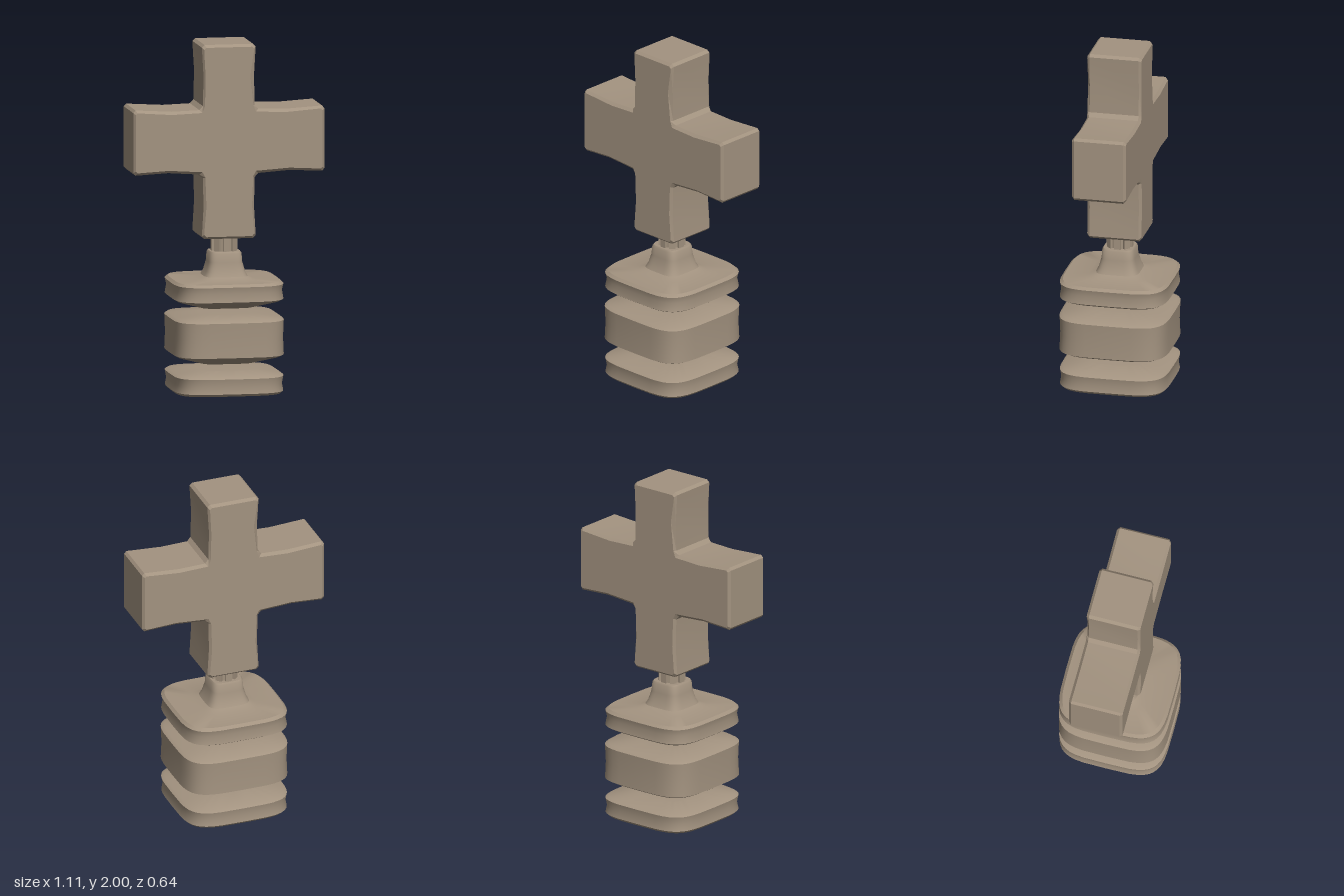
import * as THREE from 'three';
import { toCreasedNormals } from 'three/addons/utils/BufferGeometryUtils.js';

const material = new THREE.MeshStandardMaterial({ color: 0xa39380 });

// Skin a stack of counter-clockwise rings {z, pts: [[x, y], ...]} along z and cap both ends
function loft(rings, crease) {
  const n = rings[0].pts.length, last = (rings.length - 1) * n;
  const positions = rings.flatMap(r => r.pts.flatMap(([x, y]) => [x, y, r.z]));
  const index = [];
  for (let j = 0; j < last; j += n) {
    for (let i = 0; i < n; i++) {
      const k = (i + 1) % n;
      index.push(j + i, j + k, j + n + k, j + i, j + n + k, j + n + i);
    }
  }
  const cap = r => THREE.ShapeUtils.triangulateShape(r.pts.map(p => new THREE.Vector2(...p)), []);
  for (const [a, b, c] of cap(rings[0])) index.push(a, c, b);
  for (const [a, b, c] of cap(rings[rings.length - 1])) index.push(last + a, last + b, last + c);
  const g = new THREE.BufferGeometry();
  g.setAttribute('position', new THREE.Float32BufferAttribute(positions, 3));
  g.setIndex(index);
  return toCreasedNormals(g, crease);
}

// Rounded square (superellipse) ring
function squircle(r, power = 4.3, segments = 40) {
  const f = v => Math.sign(v) * Math.abs(v) ** (2 / power);
  return Array.from({ length: segments }, (_, i) => {
    const t = (i / segments) * Math.PI * 2;
    return [r * f(Math.cos(t)), r * f(Math.sin(t))];
  });
}

// Upright solid from a [half width, height] profile
function stack(profile) {
  return loft(profile.map(([r, z]) => ({ z, pts: squircle(r) })), 0.65).rotateX(-Math.PI / 2);
}

// Right half of the cross, top to bottom: edge x, y then bevelled face x, y
const half = [
  [0.14, 2.0, 0.132, 1.985], [0.156, 1.985, 0.145, 1.975],
  [0.146, 1.82, 0.122, 1.82], [0.15, 1.65, 0.14, 1.65],
  [0.17, 1.627, 0.155, 1.612], [0.33, 1.622, 0.33, 1.605],
  [0.54, 1.635, 0.53, 1.62], [0.553, 1.62, 0.54, 1.61],
  [0.553, 1.275, 0.54, 1.285], [0.54, 1.26, 0.53, 1.275],
  [0.35, 1.27, 0.35, 1.285], [0.17, 1.257, 0.155, 1.272],
  [0.15, 1.235, 0.138, 1.24], [0.146, 1.07, 0.132, 1.07],
  [0.156, 0.9, 0.145, 0.912], [0.14, 0.885, 0.132, 0.898],
];

function crossGeometry() {
  const edge = ([x, y]) => [x, y], face = ([, , x, y]) => [x, y];
  const mirror = ([x, y]) => [-x, y];
  const outline = pick => [...half.map(pick).reverse(), ...half.map(pick).map(mirror)];
  // The upper arm is more worn on one side; the back is the front turned half round
  const worn = outline(face);
  worn[18][0] = -0.137;
  const turned = worn.map(mirror).reverse();
  return loft([
    { z: -0.158, pts: turned },
    { z: -0.143, pts: outline(edge) },
    { z: 0.143, pts: outline(edge) },
    { z: 0.158, pts: worn },
  ], 0.3);
}

// Fluted post between neck and cross
function postGeometry() {
  const pts = [];
  for (let i = 0; i < 8; i++) {
    for (const [offset, r] of [[-0.24, 0.078], [0.24, 0.078], [0.28, 0.062], [0.505, 0.062]]) {
      const t = (i / 8) * Math.PI * 2 + offset;
      pts.push([r * Math.cos(t), r * Math.sin(t)]);
    }
  }
  return loft([{ z: 0.78, pts }, { z: 0.9, pts }], 0.3).rotateX(-Math.PI / 2);
}

export function createModel() {
  const group = new THREE.Group();
  const add = (name, geometry) => {
    const mesh = new THREE.Mesh(geometry, material);
    mesh.name = name;
    group.add(mesh);
  };

  // Three separate pedestal stones
  add('bottomStone', stack([
    [0.302, 0], [0.315, 0.014], [0.308, 0.055], [0.316, 0.1], [0.298, 0.111], [0.16, 0.129],
  ]));
  add('middleStone', stack([
    [0.155, 0.166], [0.295, 0.209], [0.318, 0.222], [0.314, 0.32], [0.318, 0.421],
    [0.3, 0.433], [0.14, 0.446],
  ]));
  // Top stone flows into the flared neck
  add('topStoneAndNeck', stack([
    [0.155, 0.485], [0.295, 0.528], [0.316, 0.541], [0.308, 0.59], [0.316, 0.627],
    [0.3, 0.642], [0.165, 0.645], [0.125, 0.66], [0.112, 0.685], [0.097, 0.74],
    [0.093, 0.79], [0.086, 0.8],
  ]));
  add('flutedPost', postGeometry());
  add('cross', crossGeometry());
  return group;
}
